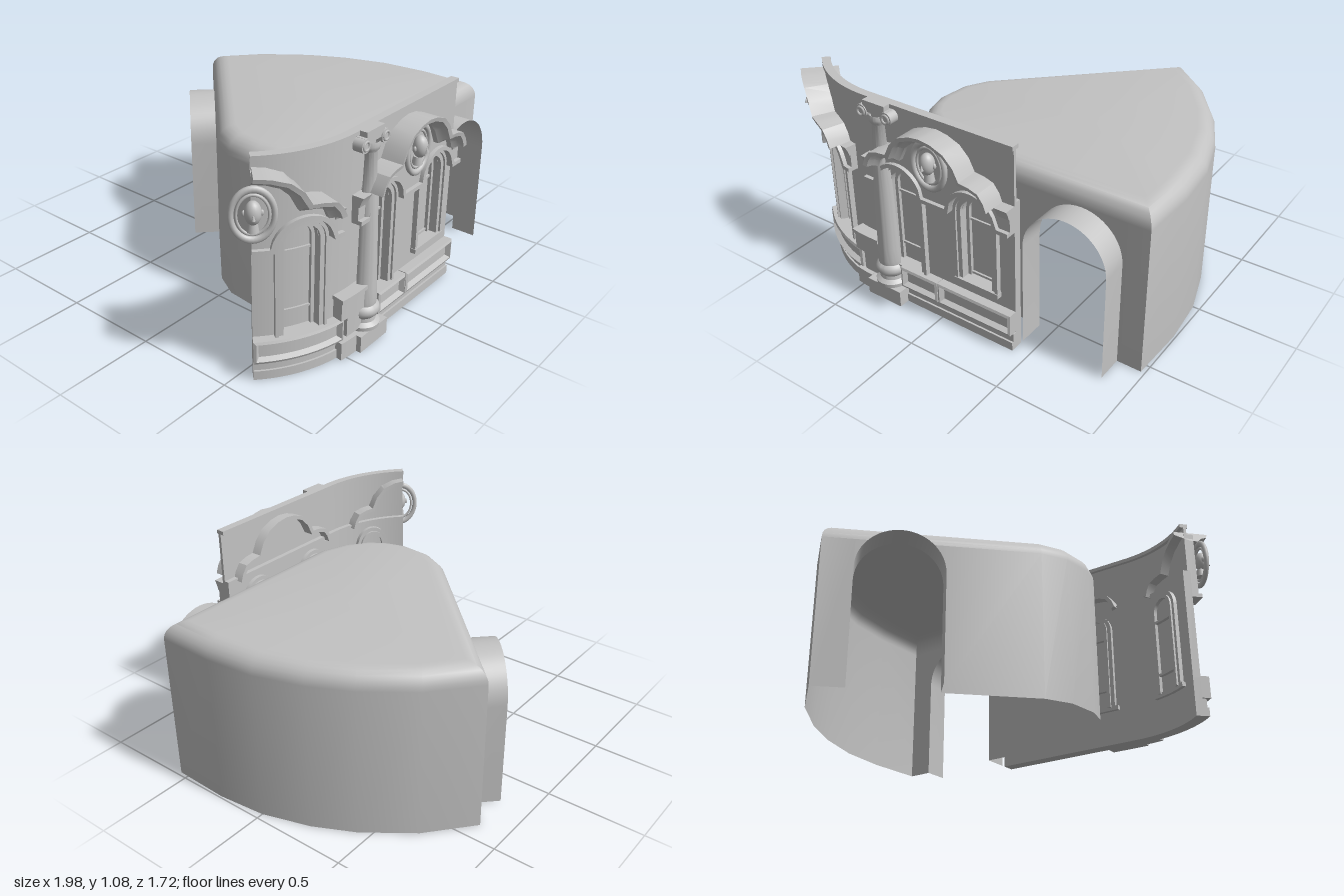
import * as THREE from 'three';
import { toCreasedNormals } from 'three/addons/utils/BufferGeometryUtils.js';

const plaster = new THREE.MeshStandardMaterial({ color: 0xc2c2c2, side: THREE.DoubleSide });
plaster.name = 'plaster grey';

function add(parent, name, geo) {
  const m = new THREE.Mesh(geo, plaster);
  m.name = name;
  parent.add(m);
  return m;
}

// Quads of Vector3 -> smooth geometry with sharp creases
function fromQuads(quads, crease = 0.6) {
  const pos = [];
  for (const [a, b, c, d] of quads)
    for (const t of [[a, b, c], [a, c, d]]) {
      const area = t[1].clone().sub(t[0]).cross(t[2].clone().sub(t[0])).length();
      if (area > 1e-9) t.forEach(p => pos.push(p.x, p.y, p.z));
    }
  const g = new THREE.BufferGeometry();
  g.setAttribute('position', new THREE.Float32BufferAttribute(pos, 3));
  return toCreasedNormals(g, crease);
}

// Facade coordinates: s along the wall, y up, d outward. Left of BEND the wall curves back.
const FACE = 0.74, BEND = -0.42, R = 0.64, END = -0.92, RIGHT = 0.42;
const angle = s => Math.max(0, (BEND - s) / R);
function P(s, y, d) {
  if (s >= BEND) return new THREE.Vector3(s, y, FACE + d);
  const a = angle(s);
  return new THREE.Vector3(BEND - (R + d) * Math.sin(a), y, FACE - R + (R + d) * Math.cos(a));
}
function range(a, b, step = 0.025) {
  const n = Math.max(1, Math.ceil((b - a) / step - 1e-6));
  return Array.from({ length: n + 1 }, (_, i) => a + (b - a) * i / n);
}

// Slab between two heights per column [s, low, high]
function slab(cols, d0, d1) {
  const q = [];
  for (let i = 0; i + 1 < cols.length; i++) {
    const [s, l, h] = cols[i], [t, m, k] = cols[i + 1];
    q.push([P(s, l, d1), P(t, m, d1), P(t, k, d1), P(s, h, d1)]);
    q.push([P(t, m, d0), P(s, l, d0), P(s, h, d0), P(t, k, d0)]);
    q.push([P(s, h, d1), P(t, k, d1), P(t, k, d0), P(s, h, d0)]);
    q.push([P(s, l, d0), P(t, m, d0), P(t, m, d1), P(s, l, d1)]);
  }
  const [s, l, h] = cols[0], [t, m, k] = cols[cols.length - 1];
  q.push([P(s, l, d0), P(s, l, d1), P(s, h, d1), P(s, h, d0)]);
  q.push([P(t, m, d1), P(t, m, d0), P(t, k, d0), P(t, k, d1)]);
  return fromQuads(q, 0.5);
}
const block = (s0, s1, y0, y1, d0, d1) => slab(range(s0, s1).map(s => [s, y0, y1]), d0, d1);

// Moulding: section [n, d] carried along a path of [s, y], mitred at corners
function moulding(path, section, loop = false) {
  const pts = [];
  const count = loop ? path.length : path.length - 1;
  for (let i = 0; i < count; i++) {
    const a = path[i], b = path[(i + 1) % path.length];
    const n = Math.max(1, Math.ceil(Math.abs(b[0] - a[0]) / 0.05));
    for (let k = 0; k < n; k++) pts.push([a[0] + (b[0] - a[0]) * k / n, a[1] + (b[1] - a[1]) * k / n]);
  }
  if (!loop) pts.push(path[path.length - 1]);
  const N = pts.length;
  const dir = (i, j) => new THREE.Vector2(pts[j][0] - pts[i][0], pts[j][1] - pts[i][1]).normalize();
  const rings = pts.map((p, i) => {
    const prev = i > 0 || loop ? dir((i + N - 1) % N, i) : dir(i, i + 1);
    const next = i < N - 1 || loop ? dir(i, (i + 1) % N) : prev;
    const t = prev.clone().add(next).normalize();
    const k = 1 / Math.max(0.6, t.dot(next));
    return section.map(([n, d]) => P(p[0] - t.y * n * k, p[1] + t.x * n * k, d));
  });
  const q = [], M = section.length;
  for (let i = 0; i < (loop ? N : N - 1); i++)
    for (let j = 0; j < M; j++) {
      const a = rings[i], b = rings[(i + 1) % N], k = (j + 1) % M;
      q.push([a[j], b[j], b[k], a[k]]);
    }
  if (!loop) for (const r of [rings[0], rings[N - 1]])
    for (let j = 1; j + 1 < M; j++) q.push([r[0], r[j], r[j + 1], r[0]]);
  return fromQuads(q, 0.5);
}
const rect = (n0, n1, d0, d1) => [[n0, d0], [n0, d1], [n1, d1], [n1, d0]];

// Windows: [centre, sill height]
const windows = [[0.215, 0.28], [-0.212, 0.2], [-0.703, 0.2]];
const HALF = 0.085, SPRING = 0.655;
const archY = (ds, r) => SPRING + Math.sqrt(Math.max(0, r * r - ds * ds));

// Right half of the curved pediment line, from the centre outwards
const crest = [[0, 1.03], [0.06, 1.022], [0.13, 0.995], [0.18, 0.945], [0.21, 0.885], [0.26, 0.88],
  [0.31, 0.865], [0.34, 0.825], [0.355, 0.785]];
function crestY(x) {
  x = Math.abs(x);
  for (let i = 1; i < crest.length; i++) {
    const [a, ya] = crest[i - 1], [b, yb] = crest[i];
    if (x <= b) return ya + (yb - ya) * (x - a) / (b - a);
  }
  return 0.785;
}

function medallion(y) {
  const g = new THREE.Group();
  g.name = 'medallion';
  add(g, 'ovalRing', new THREE.TorusGeometry(0.09, 0.013, 10, 36)).scale.y = 1.28;
  add(g, 'innerRing', new THREE.TorusGeometry(0.068, 0.006, 8, 36)).scale.y = 1.32;
  const head = add(g, 'head', new THREE.SphereGeometry(0.036, 20, 14));
  head.scale.set(1, 1.5, 1);
  head.position.set(0, 0.015, 0.01);
  const nose = add(g, 'nose', new THREE.ConeGeometry(0.009, 0.028, 6));
  nose.position.set(0, 0.012, 0.047);
  const neck = add(g, 'neck', new THREE.CylinderGeometry(0.02, 0.026, 0.04, 12));
  neck.position.set(0, -0.055, 0);
  for (const k of [-1, 1]) {
    const ear = add(g, 'ear', new THREE.SphereGeometry(0.009, 8, 6));
    ear.scale.y = 1.6;
    ear.position.set(k * 0.037, 0.012, 0.005);
  }
  g.position.y = y;
  return g;
}

// One bay: fascia with window hoods, curved cornice and medallion
function bay(parent, centre, from, to, ovalY) {
  const cols = range(from, to, 0.0125).map(s => {
    const ds = Math.abs(Math.abs(s - centre) - 0.212);
    return [s, ds < 0.125 ? archY(ds, 0.125) : 0.65, crestY(s - centre) - 0.01];
  });
  add(parent, 'fascia', slab(cols, 0, 0.035));
  add(parent, 'hoodMoulding', moulding(cols.map(c => [c[0], c[1]]), rect(0, 0.02, 0.03, 0.055)));
  const full = [...crest.slice(1).reverse().map(([x, y]) => [-x, y]), ...crest];
  const path = full.map(([x, y]) => [centre + x, y]).filter(p => p[0] >= from - 1e-6);
  add(parent, 'curvedCornice', moulding(path,
    [[-0.05, 0.02], [-0.05, 0.06], [-0.03, 0.08], [-0.02, 0.11], [0, 0.115], [0, -0.07], [-0.02, -0.07], [-0.02, 0.02]]));
  for (const [a, b] of [[from, centre - 0.355], [centre + 0.355, to]])
    if (b - a > 0.01) add(parent, 'sideCornice', moulding([[a, 0.785], [b, 0.785]],
      [[-0.05, 0], [-0.05, 0.04], [-0.02, 0.05], [0, 0.06], [0, 0]]));
  const m = medallion(ovalY);
  m.position.copy(P(centre, ovalY, 0.06));
  m.rotation.y = -angle(centre);
  parent.add(m);
}

function facade() {
  const g = new THREE.Group();
  g.name = 'facade';

  // Wall sheets with window openings
  const cols = [];
  let s = END;
  for (const [c] of [...windows].reverse()) {
    range(s, c - HALF).forEach(x => cols.push([x, 0.2, 0.8]));
    range(c - HALF, c + HALF, 0.01).forEach(x => cols.push([x, archY(x - c, HALF), 0.8]));
    s = c + HALF;
  }
  range(s, RIGHT).forEach(x => cols.push([x, 0.2, 0.8]));
  add(g, 'wall', slab(cols, -0.04, 0));
  add(g, 'lowerWall', block(END, RIGHT, 0, 0.2, -0.04, 0));
  add(g, 'frieze', block(END, RIGHT, 0.8, 1.08, -0.015, 0));
  add(g, 'crown', block(END, RIGHT, 1.06, 1.08, -0.035, 0.008));
  add(g, 'sillWall', block(0.13, 0.3, 0.2, 0.28, -0.04, 0));

  // Arched windows
  for (const [c, sill] of windows) {
    const arch = r => [[c - r, sill], ...Array.from({ length: 17 }, (_, i) => {
      const a = Math.PI * (1 - i / 16);
      return [c + r * Math.cos(a), SPRING + r * Math.sin(a)];
    }), [c + r, sill]];
    add(g, 'windowPane', slab(range(c - HALF, c + HALF, 0.01).map(x => [x, sill, archY(x - c, HALF)]), -0.05, -0.042));
    add(g, 'windowFrame', moulding(arch(HALF), rect(0, 0.022, -0.06, 0.016)));
    add(g, 'windowTrim', moulding(arch(HALF + 0.022), rect(0, 0.015, 0, 0.026)));
    add(g, 'sash', moulding(arch(HALF - 0.018), rect(0, 0.018, -0.07, -0.025)));
    add(g, 'windowSill', block(c - 0.125, c + 0.125, sill - 0.016, sill + 0.008, -0.06, 0.03));
    for (const y of [0.3, 0.6]) add(g, 'glazingBar', block(c - HALF, c + HALF, y - 0.006, y + 0.006, -0.07, -0.032));
  }

  // Plinth and raised panels
  add(g, 'plinth', block(END, RIGHT, 0, 0.09, 0, 0.02));
  add(g, 'plinthFoot', block(END, RIGHT, 0, 0.045, 0, 0.03));
  for (const [a, b] of [[END, -0.5], [-0.24, -0.012], [-0.008, RIGHT]]) {
    add(g, 'panel', block(a, b, 0.095, 0.21, 0, 0.025));
    add(g, 'panelRim', moulding([[a, 0.095], [b, 0.095], [b, 0.21], [a, 0.21]],
      [[0, 0.02], [0, 0.045], [0.012, 0.05], [0.024, 0.025]], true));
  }

  // Blocks beside the column
  add(g, 'sideBlock', block(-0.525, -0.37, 0.21, 0.32, 0, 0.055));
  add(g, 'sideBlockCap', block(-0.53, -0.365, 0.305, 0.325, 0, 0.065));
  add(g, 'sidePlinth', block(-0.525, -0.43, 0, 0.09, 0, 0.06));
  add(g, 'sidePanel', block(-0.48, -0.36, 0.1, 0.2, 0, 0.045));

  bay(g, 0, -0.42, RIGHT, 0.873);
  bay(g, -0.915, END, -0.52, 0.845);
  return g;
}

// Half column with scroll capital
function column() {
  const g = new THREE.Group();
  g.name = 'column';
  const profile = [[0.08, 0.085], [0.082, 0.105], [0.062, 0.12], [0.06, 0.14], [0.074, 0.155], [0.08, 0.175],
    [0.074, 0.195], [0.062, 0.205], [0.064, 0.23], [0.06, 0.3], [0.053, 0.6], [0.044, 0.78], [0.034, 0.97],
    [0.045, 0.985], [0.048, 1.0], [0.045, 1.02]].map(p => new THREE.Vector2(...p));
  add(g, 'shaft', toCreasedNormals(new THREE.LatheGeometry(profile, 24, -Math.PI / 2, Math.PI), 0.7));
  const box = (name, w, h, d, y, z) => add(g, name, new THREE.BoxGeometry(w, h, d)).position.set(0, y, z);
  box('pedestal', 0.21, 0.085, 0.1, 0.0425, 0.02);
  box('capital', 0.16, 0.03, 0.06, 1.04, 0.0);
  box('abacus', 0.13, 0.03, 0.06, 1.065, 0);
  for (const k of [-1, 1]) {
    const v = add(g, 'scroll', new THREE.CylinderGeometry(0.033, 0.033, 0.06, 20));
    v.rotation.x = Math.PI / 2;
    v.position.set(k * 0.074, 1.022, 0.005);
    add(g, 'scrollEye', new THREE.TorusGeometry(0.02, 0.006, 6, 16)).position.set(k * 0.074, 1.022, 0.035);
  }
  g.position.set(-0.326, 0, 0.755);
  return g;
}

// Vaulted room: walls with two arched doorways and a rounded roof edge
function room() {
  const g = new THREE.Group();
  g.name = 'room';
  const outline = [[-0.1, 0.55], [0.98, 0.55], [0.99, 0.25], [0.965, 0], [0.89, -0.24], [0.79, -0.44], [0.62, -0.67],
    [0.4, -0.86], [-0.37, -0.1], [-0.44, 0.03], [-0.458, 0.2], [-0.43, 0.31], [-0.37, 0.41], [-0.25, 0.5]]
    .map(p => new THREE.Vector2(...p));
  const N = outline.length, H = 0.86, r = 0.09, w = 0.2165, spring = 0.545;
  const doors = { 0: 0.683, 7: 0.35 };
  const V = (p, y) => new THREE.Vector3(p.x, y, p.y);
  const q = [];
  outline.forEach((a, i) => {
    const b = outline[(i + 1) % N], len = a.distanceTo(b), t = b.clone().sub(a).normalize();
    const list = [[0, 0]];
    if (i in doors) {
      const c = doors[i] * len, shell = [[c - w, 0]];
      for (let k = 0; k <= 24; k++) {
        const f = Math.PI * (1 - k / 24);
        shell.push([c + w * Math.cos(f), spring + w * Math.sin(f)]);
      }
      shell.push([c + w, 0]);
      list.push(...shell);
      // Doorway tunnel standing out from the wall
      const at = ([u, y], out) => V(a.clone().addScaledVector(t, u).add(new THREE.Vector2(-t.y, t.x).multiplyScalar(out)), y);
      const tunnel = shell.slice(1).map((p, k) => [at(shell[k], 0), at(p, 0), at(p, 0.135), at(shell[k], 0.135)]);
      add(g, 'doorwayTunnel', fromQuads(tunnel));
    }
    list.push([len, 0]);
    for (let k = 0; k + 1 < list.length; k++) {
      const [u, l] = list[k], [v, m] = list[k + 1];
      const p = a.clone().addScaledVector(t, u), e = a.clone().addScaledVector(t, v);
      q.push([V(p, l), V(e, m), V(e, H - r), V(p, H - r)]);
    }
  });
  // Inset rings for the rounded edge
  const ring = d => outline.map((p, i) => {
    const n = [outline[(i + N - 1) % N], outline[(i + 1) % N]].map((o, k) => {
      const t = (k ? o.clone().sub(p) : p.clone().sub(o)).normalize();
      return new THREE.Vector2(t.y, -t.x);
    });
    const m = n[0].clone().add(n[1]).normalize();
    return p.clone().addScaledVector(m, d / m.dot(n[0]));
  });
  const rings = Array.from({ length: 7 }, (_, k) => {
    const f = k / 6 * Math.PI / 2;
    return ring(r * (1 - Math.cos(f))).map(p => V(p, H - r + r * Math.sin(f)));
  });
  const top = new THREE.Vector3(0.35, H, 0);
  for (let i = 0; i < N; i++) {
    const j = (i + 1) % N;
    for (let k = 0; k < 6; k++) q.push([rings[k][i], rings[k][j], rings[k + 1][j], rings[k + 1][i]]);
    q.push([rings[6][i], rings[6][j], top, top]);
  }
  add(g, 'roomShell', fromQuads(q, 0.75));
  return g;
}

export function createModel() {
  const model = new THREE.Group();
  model.name = 'curvedFacadeAndRoom';
  model.add(room(), facade(), column());
  return model;
}
